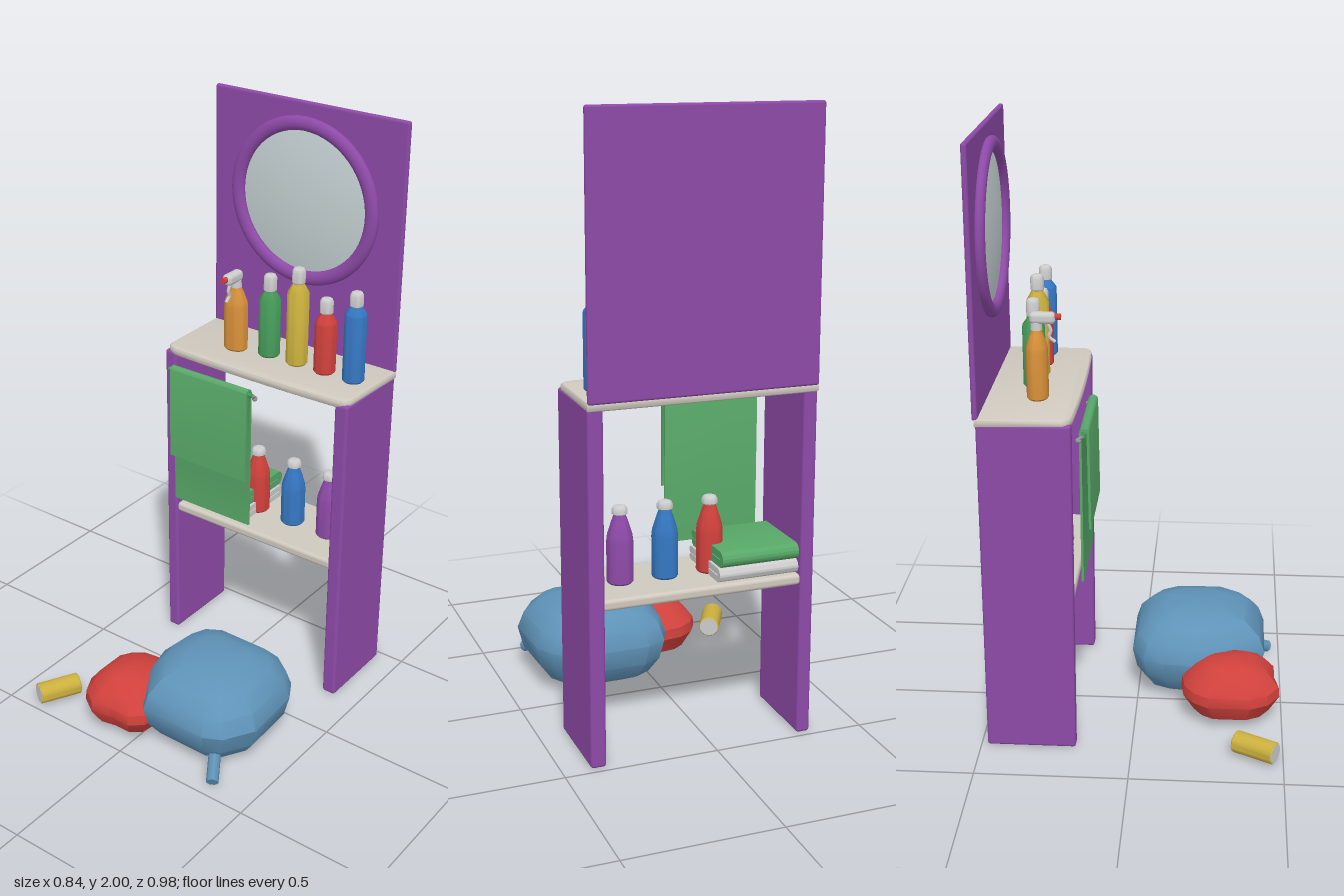
import * as THREE from 'three';
import { toCreasedNormals } from 'three/addons/utils/BufferGeometryUtils.js';
import { RoundedBoxGeometry } from 'three/addons/geometries/RoundedBoxGeometry.js';

const C = {
  purple: 0x8e4aa8, stone: 0xcfc9be, cap: 0xcccccc, mirror: 0xc6d2d4, green: 0x459a58, towel: 0x58a868,
  yellow: 0xcbb03e, red: 0xd0413c, blue: 0x3577c2, orange: 0xd8913a, bagBlue: 0x5f93b8, steel: 0x8f9a98,
};

export function createModel() {
  const model = new THREE.Group();

  function add(name, geometry, color, pos = [0, 0, 0], parent = model) {
    const mesh = new THREE.Mesh(geometry, new THREE.MeshStandardMaterial({ color }));
    mesh.name = name;
    mesh.position.set(...pos);
    parent.add(mesh);
    return mesh;
  }
  // Rounded box given by its min and max corners
  function box(name, a, b, color, r = 0.008) {
    const size = a.map((v, i) => b[i] - v);
    return add(name, new RoundedBoxGeometry(...size, 3, r), color, a.map((v, i) => (v + b[i]) / 2));
  }
  const lathe = (pts, seg = 28) =>
    toCreasedNormals(new THREE.LatheGeometry(pts.map(p => new THREE.Vector2(...p)), seg), 0.7);
  // Round bar between two points
  function rod(name, a, b, r, color, parent = model, seg = 12) {
    const p = new THREE.Vector3(...a), q = new THREE.Vector3(...b);
    const mesh = add(name, new THREE.CylinderGeometry(r, r, p.distanceTo(q), seg), color, [0, 0, 0], parent);
    mesh.position.copy(p).lerp(q, 0.5);
    mesh.quaternion.setFromUnitVectors(new THREE.Vector3(0, 1, 0), q.clone().sub(p).normalize());
    return mesh;
  }

  // Cabinet
  box('backPanel', [-0.33, 1.15, -0.49], [0.41, 2, -0.472], C.purple);
  box('rightSidePanel', [-0.33, 0, -0.48], [-0.285, 1.14, -0.185], C.purple, 0.01);
  box('leftSidePanel', [0.36, 0, -0.48], [0.41, 1.14, -0.185], C.purple, 0.01);
  box('shelf', [-0.29, 0.505, -0.475], [0.365, 0.54, -0.19], C.stone, 0.012);

  // Counter top: square at the back, softly bowed front with rounded corners
  const top = new THREE.Shape();
  top.moveTo(-0.322, 0.474);
  top.lineTo(0.402, 0.474);
  top.lineTo(0.398, 0.215);
  top.quadraticCurveTo(0.396, 0.196, 0.36, 0.192);
  top.quadraticCurveTo(0.04, 0.178, -0.28, 0.192);
  top.quadraticCurveTo(-0.316, 0.196, -0.318, 0.215);
  top.closePath();
  const topGeo = new THREE.ExtrudeGeometry(top, {
    depth: 0.012, bevelSize: 0.009, bevelThickness: 0.009, bevelSegments: 4, curveSegments: 12,
  });
  topGeo.rotateX(-Math.PI / 2);
  add('counterTop', toCreasedNormals(topGeo, 0.7), C.stone, [0, 1.136, 0]);

  // Round mirror with a gently domed glass
  const frame = new THREE.TorusGeometry(0.262, 0.024, 14, 64);
  frame.scale(1, 1, 0.75);
  add('mirrorFrame', frame, C.purple, [0.037, 1.67, -0.462]);
  const dome = [];
  for (let i = 0; i <= 12; i++) {
    const r = 0.25 * (1 - i / 12);
    dome.push(new THREE.Vector2(r, 0.022 * (1 - (r / 0.25) ** 2)));
  }
  const glass = new THREE.LatheGeometry(dome, 48);
  glass.rotateX(Math.PI / 2);
  add('mirrorGlass', glass, C.mirror, [0.037, 1.67, -0.47]);

  // Bottles: r radius, s shoulder height, n neck height, h full height
  function bottle(name, x, y, z, r, s, n, h, color) {
    const g = new THREE.Group();
    g.name = name;
    g.position.set(x, y, z);
    model.add(g);
    add('bottleBody', lathe([[0, 0], [r - 0.006, 0], [r, 0.007], [r, s], [r * 0.94, s + (n - s) * 0.25],
      [r * 0.62, s + (n - s) * 0.75], [0.018, n], [0.016, n + 0.012], [0, n + 0.012]]), color, [0, 0, 0], g);
    if (h) {
      const c = Math.min(0.025, r * 0.6);
      add('bottleCap', lathe([[0, n], [c - 0.003, n], [c, n + 0.003], [c, h - 0.012],
        [c * 0.8, h - 0.003], [c * 0.5, h], [0, h]]), C.cap, [0, 0, 0], g);
    }
    return g;
  }
  const counterY = 1.156;
  [['greenBottle', 0, 0.2, 0.235, 0.294, C.green], ['yellowBottle', 0.112, 0.25, 0.29, 0.343, C.yellow],
   ['redBottle', 0.223, 0.175, 0.212, 0.265, C.red], ['blueBottle', 0.335, 0.235, 0.265, 0.315, C.blue],
  ].forEach(([name, x, s, n, h, color]) => bottle(name, x, counterY, -0.335, 0.037, s, n, h, color));
  [['lowerRedBottle', -0.035, C.red], ['lowerBlueBottle', 0.115, C.blue], ['lowerPurpleBottle', 0.263, C.purple],
  ].forEach(([name, x, color]) => bottle(name, x, 0.539, -0.335, 0.042, 0.135, 0.222, 0.25, color));

  // Spray bottle with head, nozzle and trigger
  const spray = bottle('sprayBottle', -0.121, counterY, -0.31, 0.043, 0.16, 0.228, 0, C.orange);
  spray.children[0].scale.z = 0.82;
  add('sprayCollar', new THREE.CylinderGeometry(0.017, 0.019, 0.025, 20), C.cap, [0, 0.24, 0], spray);
  add('sprayHead', new RoundedBoxGeometry(0.036, 0.038, 0.082, 3, 0.014), C.cap, [0, 0.266, 0.02], spray);
  rod('sprayNozzle', [0, 0.27, 0.055], [0, 0.27, 0.078], 0.01, C.red, spray);
  const trigger = new THREE.CatmullRomCurve3([[0.25, 0.035], [0.225, 0.045], [0.205, 0.04], [0.188, 0.058]]
    .map(([y, z]) => new THREE.Vector3(0, y, z)));
  add('sprayTrigger', new THREE.TubeGeometry(trigger, 12, 0.006, 8), C.cap, [0, 0, 0], spray);

  // Folded towels on the shelf: two layers joined by a round fold at the back
  function foldedTowel(name, x0, x1, y, t, color) {
    const s = new THREE.Shape();
    const zf = 0.225, zb = 0.445, h = t / 2, gap = 0.002;
    s.moveTo(zf, y);
    s.lineTo(zb, y);
    s.absarc(zb, y + h, h, -Math.PI / 2, Math.PI / 2, false);
    s.lineTo(zf, y + t);
    s.absarc(zf, y + t * 0.75, t / 4, Math.PI / 2, Math.PI * 1.5, false);
    s.lineTo(zb, y + h + gap);
    s.lineTo(zb, y + h - gap);
    s.lineTo(zf, y + h - gap);
    s.absarc(zf, y + t / 4, t / 4 - gap, Math.PI / 2, Math.PI * 1.5, false);
    const g = new THREE.ExtrudeGeometry(s, { depth: x1 - x0, bevelEnabled: false, curveSegments: 10 });
    g.rotateY(Math.PI / 2);
    add(name, toCreasedNormals(g, 0.7), color, [x0, 0, 0]);
  }
  foldedTowel('greyFoldedTowel', -0.283, -0.017, 0.541, 0.045, C.cap);
  foldedTowel('greenFoldedTowel', -0.283, -0.025, 0.587, 0.052, C.towel);

  // Hanging towel folded over its rail
  const cloth = new THREE.Shape();
  cloth.moveTo(0.13, 0.77);
  cloth.lineTo(0.134, 1.094);
  cloth.absarc(0.15, 1.094, 0.016, Math.PI, 0, true);
  cloth.lineTo(0.164, 0.585);
  cloth.lineTo(0.156, 0.585);
  cloth.lineTo(0.158, 1.094);
  cloth.absarc(0.15, 1.094, 0.008, 0, Math.PI, false);
  cloth.lineTo(0.138, 0.77);
  const clothGeo = new THREE.ExtrudeGeometry(cloth, { depth: 0.32, bevelEnabled: false, curveSegments: 10 });
  clothGeo.rotateY(Math.PI / 2);
  add('hangingTowel', toCreasedNormals(clothGeo, 0.7), C.towel, [-0.27, 0, 0]);
  rod('towelRail', [-0.285, 1.092, -0.15], [0.064, 1.092, -0.15], 0.0075, C.green);
  for (const x of [-0.281, 0.062]) {
    rod('railHook', [x, 1.092, -0.15], [x, 1.075, -0.172], 0.006, C.steel);
    add('railKnob', new THREE.SphereGeometry(0.009, 12, 8), C.steel, [x, 1.075, -0.166]);
  }

  // Soft bags: a plan outline scaled ring by ring up a profile of [y, scale]
  function bag(name, outline, rings, yTop, color) {
    const n = outline.length;
    const cx = outline.reduce((s, p) => s + p[0], 0) / n, cz = outline.reduce((s, p) => s + p[1], 0) / n;
    const pos = [], idx = [];
    rings.forEach(([y, k]) => outline.forEach(([x, z]) => pos.push(cx + (x - cx) * k, y, cz + (z - cz) * k)));
    pos.push(cx, rings[0][0], cz, cx, yTop, cz);
    const low = rings.length * n, last = low - n;
    for (let j = 0; j < n; j++) {
      const m = (j + 1) % n;
      for (let i = 0; i < last; i += n) idx.push(i + j, i + n + j, i + n + m, i + j, i + n + m, i + m);
      idx.push(low, j, m, low + 1, last + m, last + j);
    }
    const g = new THREE.BufferGeometry();
    g.setAttribute('position', new THREE.Float32BufferAttribute(pos, 3));
    g.setIndex(idx);
    add(name, toCreasedNormals(g, 0.6), color);
  }
  bag('blueBag', [[0.05, -0.02], [0.3, -0.02], [0.37, 0.03], [0.41, 0.1], [0.42, 0.31], [0.36, 0.41], [0.3, 0.44],
    [0.055, 0.44], [-0.035, 0.31], [-0.062, 0.2], [-0.05, 0.09], [-0.02, 0.02]],
  [[0.01, 0.5], [0.04, 0.77], [0.095, 0.93], [0.165, 1], [0.22, 0.92], [0.268, 0.72], [0.295, 0.42]], 0.302, C.bagBlue);
  bag('redBag', [[-0.14, 0.165], [-0.07, 0.155], [0, 0.18], [0.05, 0.25], [0.075, 0.35], [0.06, 0.44], [0.015, 0.475],
    [-0.06, 0.475], [-0.13, 0.49], [-0.19, 0.45], [-0.22, 0.39], [-0.22, 0.25], [-0.19, 0.2]],
  [[0.008, 0.35], [0.04, 0.78], [0.1, 1], [0.135, 0.98], [0.175, 0.77], [0.205, 0.48]], 0.217, C.red);
  rod('blueBagTie', [0.305, 0.07, 0.375], [0.357, 0.024, 0.46], 0.021, C.bagBlue, model, 7);

  // Small roll on the floor with pale ends
  const roll = new THREE.Group();
  roll.name = 'floorRoll';
  roll.position.set(-0.355, 0.042, 0.408);
  roll.rotation.set(Math.PI / 2, 0, 0.49);
  roll.rotation.order = 'YXZ';
  roll.rotation.set(Math.PI / 2, -0.49, 0);
  model.add(roll);
  add('rollBody', lathe([[0.033, -0.074], [0.037, -0.07], [0.037, 0.07], [0.033, 0.074]], 14), C.yellow, [0, 0, 0], roll);
  add('rollEnds', new THREE.CylinderGeometry(0.034, 0.034, 0.147, 14), C.cap, [0, 0, 0], roll);

  return model;
}
